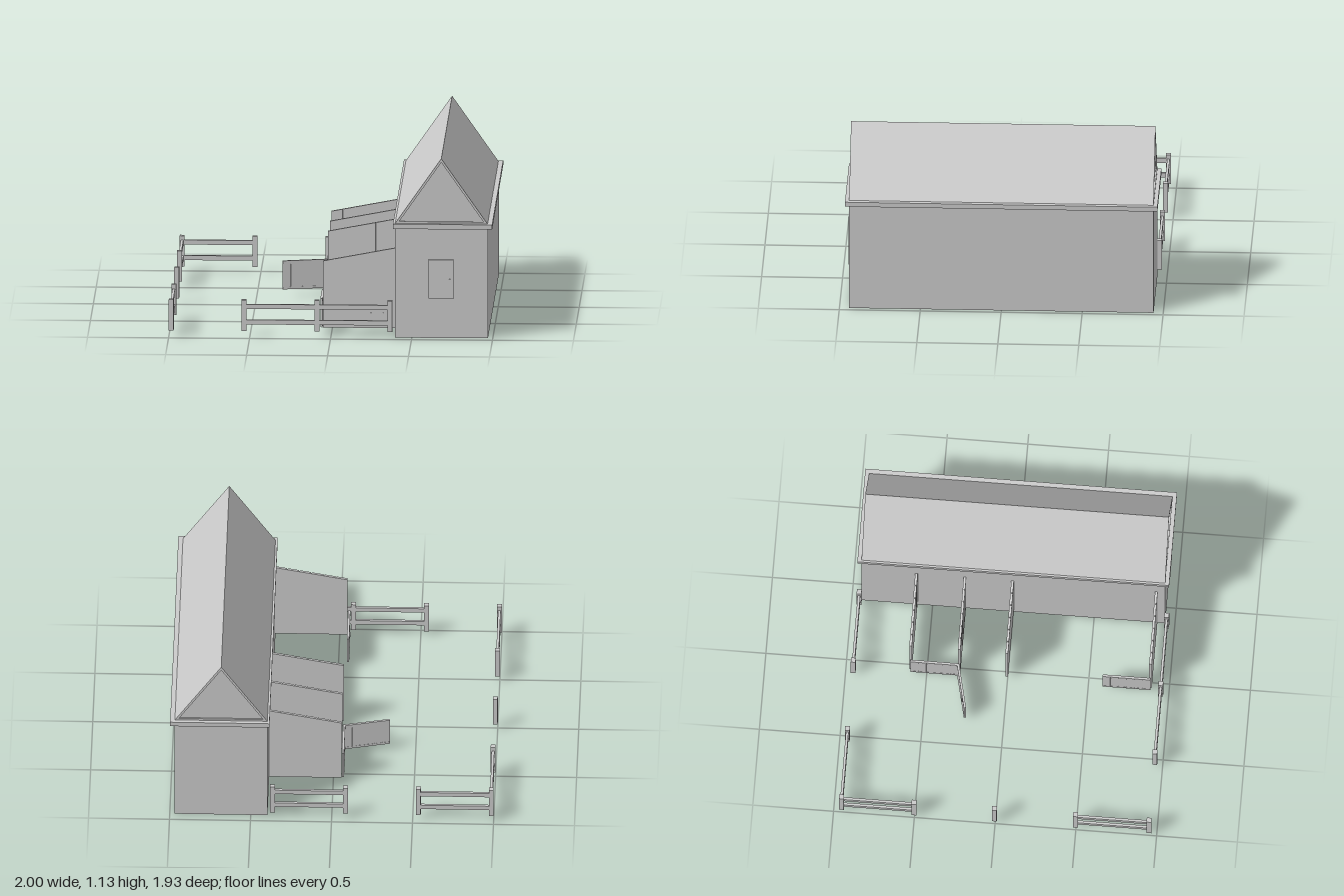
import * as THREE from 'three';

const material = new THREE.MeshStandardMaterial({ color: 0xcccccc, flatShading: true, side: THREE.DoubleSide });

function add(parent, name, geometry) {
  const mesh = new THREE.Mesh(geometry, material);
  mesh.name = name;
  parent.add(mesh);
  return mesh;
}

// box given by its minimum and maximum corners
function box(parent, name, [x0, y0, z0], [x1, y1, z1]) {
  const mesh = add(parent, name, new THREE.BoxGeometry(x1 - x0, y1 - y0, z1 - z0));
  mesh.position.set((x0 + x1) / 2, (y0 + y1) / 2, (z0 + z1) / 2);
  return mesh;
}

const toShape = (points) => new THREE.Shape(points.map(([x, y]) => new THREE.Vector2(x, y)));

// outline in x and y, extruded from z0 to z1
function slab(parent, name, shape, z0, z1) {
  const mesh = add(parent, name, new THREE.ExtrudeGeometry(shape, { depth: z1 - z0, bevelEnabled: false }));
  mesh.position.z = z0;
  return mesh;
}

function group(parent, name) {
  const g = new THREE.Group();
  g.name = name;
  parent.add(g);
  return g;
}

function buildBarn(parent) {
  const barn = group(parent, 'barn');

  // four walls without a floor
  const wallOutline = toShape([[0.397, -0.94], [0.97, -0.94], [0.97, 0.94], [0.397, 0.94]]);
  wallOutline.holes.push(toShape([[0.399, -0.938], [0.399, 0.938], [0.968, 0.938], [0.968, -0.938]]));
  const walls = slab(barn, 'walls', wallOutline, 0, 0.7);
  walls.rotation.x = -Math.PI / 2;

  box(barn, 'eaves', [0.384, 0.69, -0.965], [0.997, 0.72, 0.965]);

  // roof prism with a raised border around each gable
  const outer = [[0.397, 0.72], [0.968, 0.72], [0.682, 1.13]];
  const inner = [[0.422, 0.732], [0.943, 0.732], [0.682, 1.106]];
  slab(barn, 'roof', toShape(outer), -0.93, 0.93);
  const border = toShape(outer);
  border.holes.push(toShape(inner));
  slab(barn, 'gableBorderFront', border, 0.93, 0.94);
  slab(barn, 'gableBorderBack', border, -0.94, -0.93);
}

function buildWindow(parent) {
  const win = group(parent, 'window');
  const [x0, x1, y0, y1] = [0.605, 0.757, 0.25, 0.495];
  const rect = (a, b, c, d) => toShape([[a, c], [b, c], [b, d], [a, d]]);
  const frame = rect(x0, x1, y0, y1);
  frame.holes.push(rect(x0 + 0.011, x1 - 0.011, y0 + 0.011, y1 - 0.011));
  slab(win, 'windowFrame', frame, 0.932, 0.954);
  box(win, 'windowPane', [x0, y0, 0.934], [x1, y1, 0.942]);
  // two casements, each with a thin glazing bar
  const mid = (x0 + x1) / 2;
  for (const [a, b] of [[x0 + 0.011, mid - 0.001], [mid + 0.001, x1 - 0.011]]) {
    const casement = rect(a, b, y0 + 0.011, y1 - 0.011);
    casement.holes.push(rect(a + 0.006, b - 0.006, y0 + 0.019, y1 - 0.019));
    slab(win, 'casement', casement, 0.94, 0.95);
    box(win, 'glazingBar', [a, 0.366, 0.94], [b, 0.372, 0.948]);
  }
}

// stall wall with a sloping top and planks on its front side
function buildPartition(parent, z) {
  const partition = group(parent, 'partition');
  const top = (x) => 0.47 + (x + 0.05) * 0.19;
  const board = (a, b, y) => toShape([[a, y], [b, y], [b, top(b)], [a, top(a)]]);
  slab(partition, 'panel', board(-0.05, 0.403, 0.05), z - 0.008, z);
  box(partition, 'kickBoard', [-0.05, 0.05, z], [0.403, 0.145, z + 0.008]);
  const gaps = [-0.053, 0.022, 0.097, 0.172, 0.247, 0.322, 0.406];
  for (let i = 0; i < gaps.length - 1; i++) {
    slab(partition, 'plank', board(gaps[i] + 0.003, gaps[i + 1] - 0.003, 0.145), z, z + 0.008);
  }
}

// planked gate running from its hinge along the turned x axis
function buildGate(parent, x, z, angle, length) {
  const gate = group(parent, 'gate');
  gate.position.set(x, 0, z);
  gate.rotation.y = angle;
  box(gate, 'gateCore', [0, 0.05, -0.003], [length, 0.23, 0.003]);
  box(gate, 'gateTopRail', [0, 0.21, -0.007], [length, 0.23, 0.007]);
  box(gate, 'gateBottomRail', [0, 0.05, -0.007], [length, 0.065, 0.007]);
  const count = 6;
  const step = length / count;
  for (let i = 0; i < count; i++) {
    box(gate, 'gatePlank', [i * step + 0.002, 0.065, -0.006], [(i + 1) * step - 0.002, 0.21, 0.006]);
  }
}

function buildFence(parent) {
  const fence = group(parent, 'fence');
  const left = -0.985;
  const posts = [[left, -0.503], [left, -0.005], [left, 0.497]];
  for (const z of [-0.952, 0.952]) {
    for (const x of [left, -0.535, -0.085, 0.365]) {
      if (z > 0 || x !== null) posts.push([x, z]);
    }
  }
  for (const [x, z] of posts) {
    box(fence, 'fencePost', [x - 0.015, 0.04, z - 0.015], [x + 0.015, 0.235, z + 0.015]);
  }
  // pairs of rails between neighbouring posts, with openings left free
  const spans = [
    [left, -0.952, -0.535, -0.952], [-0.085, -0.952, 0.365, -0.952],
    [left, -0.952, left, -0.503], [left, 0.497, left, 0.952],
    [-0.535, 0.952, -0.085, 0.952], [-0.085, 0.952, 0.365, 0.952],
  ];
  for (const [xa, za, xb, zb] of spans) {
    const tx = xa === xb ? 0.008 : 0;
    const tz = za === zb ? 0.008 : 0;
    for (const y of [0.08, 0.178]) {
      box(fence, 'fenceRail', [xa - tx, y, za - tz], [xb + tx, y + 0.029, zb + tz]);
    }
  }
}

export function createModel() {
  const model = new THREE.Group();
  model.name = 'stable';
  buildBarn(model);
  buildWindow(model);
  for (const z of [-0.6, -0.3, -0.005, 0.885]) buildPartition(model, z);
  // two closed gates and one standing open
  buildGate(model, -0.06, -0.3, Math.PI / 2, 0.3);
  buildGate(model, -0.06, 0.885, Math.PI / 2, 0.295);
  buildGate(model, -0.06, -0.305, Math.PI + 0.228, 0.287);
  buildFence(model);
  return model;
}
